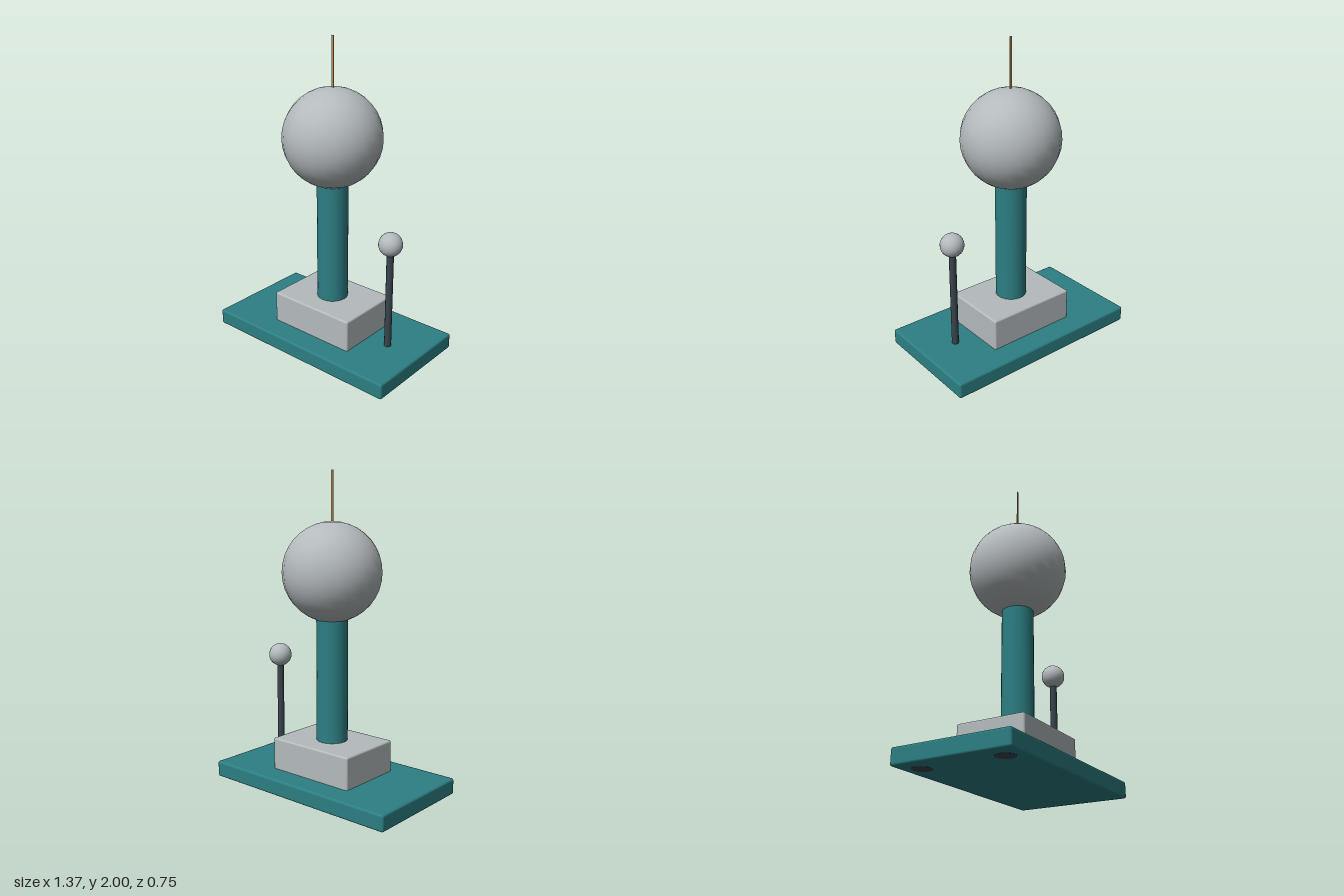
import * as THREE from 'three';
import { RoundedBoxGeometry } from 'three/addons/geometries/RoundedBoxGeometry.js';

const material = (name, color) => {
  const m = new THREE.MeshStandardMaterial({ color });
  m.name = name;
  return m;
};

export function createModel() {
  const model = new THREE.Group();
  model.name = 'electrostaticGenerator';

  const teal = material('teal', 0x2c7f83);
  const silver = material('silver', 0xb4babd);
  const dark = material('darkSteel', 0x38444c);
  const brass = material('brass', 0xb58d52);

  const add = (name, geometry, mat, x, y, z) => {
    const mesh = new THREE.Mesh(geometry, mat);
    mesh.name = name;
    mesh.position.set(x, y, z);
    model.add(mesh);
    return mesh;
  };

  // Base plate and motor housing
  add('basePlate', new RoundedBoxGeometry(1.37, 0.104, 0.75, 2, 0.014), teal, 0, 0.052, 0);
  add('motorHousing', new RoundedBoxGeometry(0.612, 0.23, 0.45, 2, 0.012), silver, 0, 0.194, 0);

  // Column carrying the large dome
  add('column', new THREE.CylinderGeometry(0.1, 0.1, 0.85, 24), teal, 0, 0.705, 0);
  add('dome', new THREE.SphereGeometry(0.312, 24, 18), silver, 0, 1.382, 0);

  // Thin upright strip on top of the dome
  add('topStrip', new THREE.BoxGeometry(0.016, 0.33, 0.005), brass, 0, 1.835, 0);

  // Discharge wand beside the column
  add('wandRod', new THREE.CylinderGeometry(0.0225, 0.0225, 0.7, 12), dark, 0.455, 0.43, 0);
  add('wandBall', new THREE.SphereGeometry(0.075, 20, 14), silver, 0.455, 0.803, 0);

  // Pads set into the underside
  for (const side of [-1, 1]) {
    add('footPad', new THREE.CylinderGeometry(0.06, 0.06, 0.004, 20), dark, -0.55, 0.0015, side * 0.26);
  }

  return model;
}
